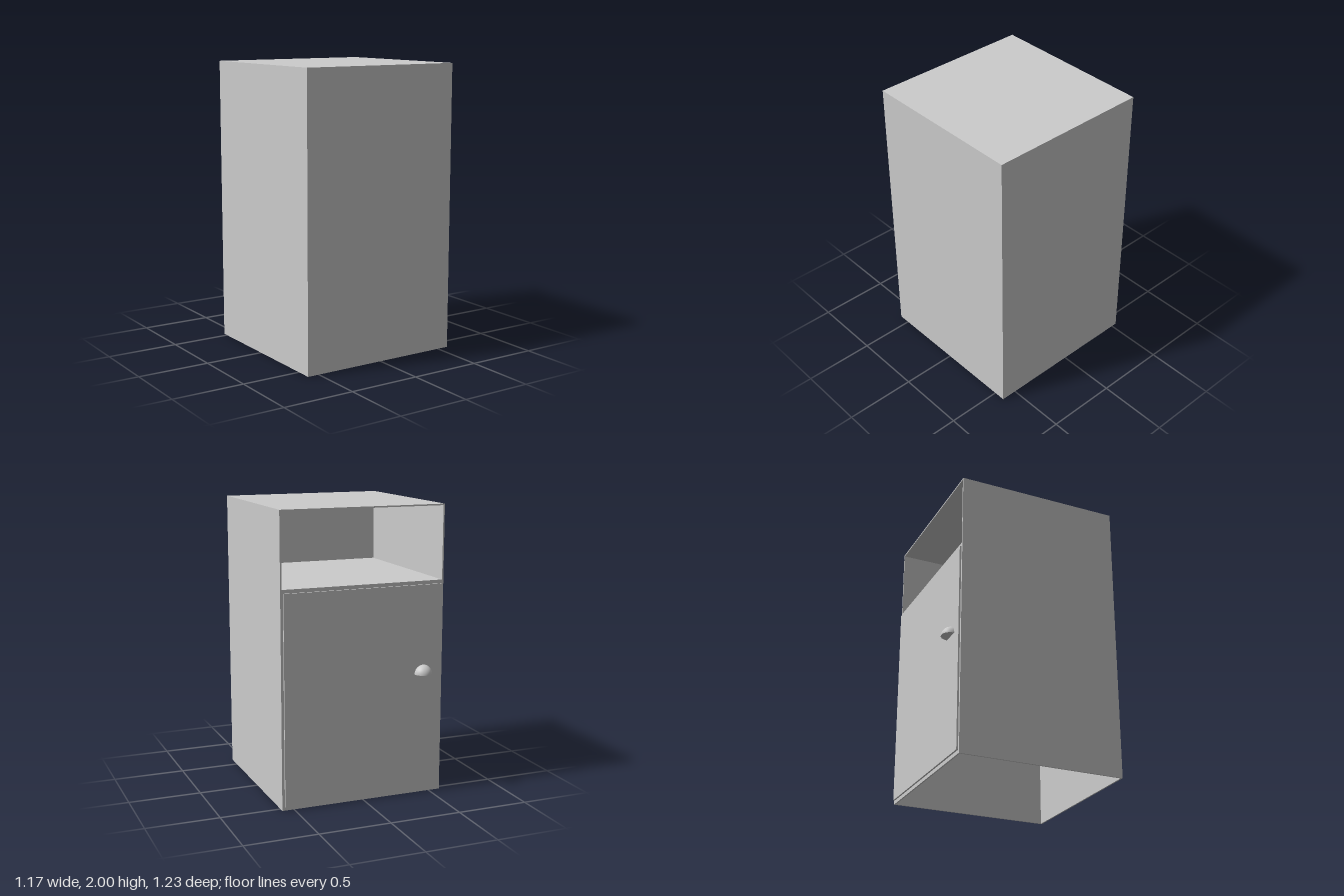
import * as THREE from 'three';

const material = new THREE.MeshStandardMaterial({ color: 0xcccccc, side: THREE.DoubleSide });

// Outer limits of the cabinet, sheet thickness and shelf height
const X = 0.583, Z0 = -0.54, Z1 = 0.613, H = 2, T = 0.01, SHELF = 1.49;

// Box given by its lower and upper corners
function panel(name, [x0, y0, z0], [x1, y1, z1]) {
  const geometry = new THREE.BoxGeometry(x1 - x0, y1 - y0, z1 - z0);
  geometry.translate((x0 + x1) / 2, (y0 + y1) / 2, (z0 + z1) / 2);
  const mesh = new THREE.Mesh(geometry, material);
  mesh.name = name;
  return mesh;
}

// Quarter-sphere pull with a flat underside
function doorKnob(radius) {
  const knob = new THREE.Group();
  knob.name = 'knob';
  const dome = new THREE.Mesh(
    new THREE.SphereGeometry(radius, 32, 16, Math.PI, Math.PI, 0, Math.PI / 2), material);
  dome.name = 'knobDome';
  const underside = new THREE.Mesh(
    new THREE.CircleGeometry(radius, 32, Math.PI, Math.PI).rotateX(Math.PI / 2), material);
  underside.name = 'knobUnderside';
  knob.add(dome, underside);
  return knob;
}

export function createModel() {
  const cabinet = new THREE.Group();
  cabinet.name = 'cabinet';

  // Thin shell, open underneath
  cabinet.add(
    panel('leftSide', [X - T, 0, Z0], [X, H - T, Z1 - T]),
    panel('rightSide', [-X, 0, Z0], [-X + T, H - T, Z1 - T]),
    panel('plainWall', [-X, 0, Z1 - T], [X, H - T, Z1]),
    panel('top', [-X, H - T, Z0], [X, H, Z1]),
  );

  // Open compartment floor and the panel behind the door
  cabinet.add(
    panel('shelf', [-X + T, SHELF - T, Z0], [X - T, SHELF, Z1 - T]),
    panel('doorBacking', [-X + T, 0, Z0], [X - T, SHELF - T, Z0 + T]),
  );

  // Door with its pull
  const doorFace = Z0 - 0.012;
  cabinet.add(panel('door', [-0.568, 0.025, doorFace], [0.565, 1.465, Z0]));
  const knob = doorKnob(0.064);
  knob.position.set(-0.436, 0.85, doorFace);
  cabinet.add(knob);

  return cabinet;
}
